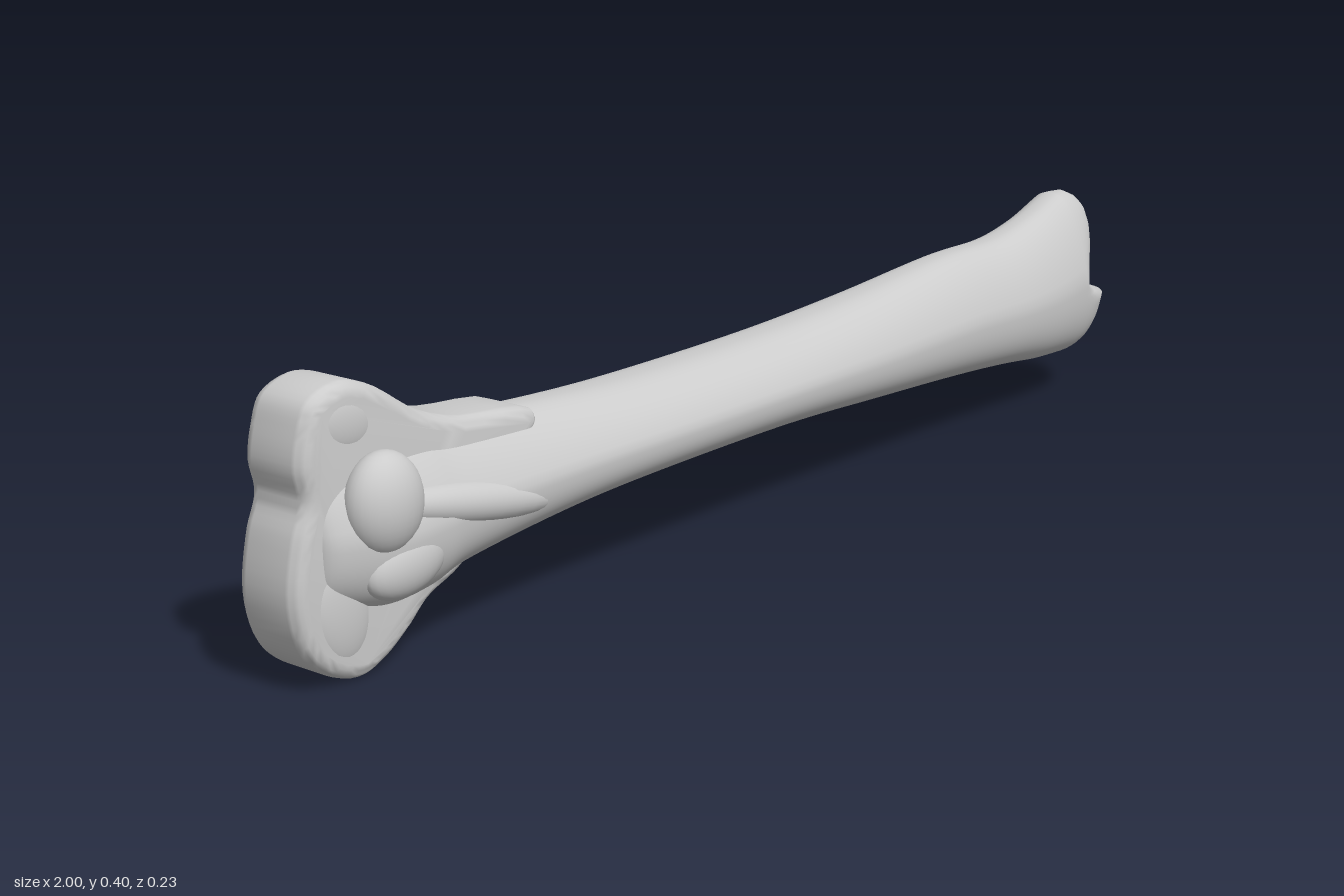
import * as THREE from 'three';
import { mergeVertices, toCreasedNormals } from 'three/addons/utils/BufferGeometryUtils.js';

const material = new THREE.MeshStandardMaterial({ color: 0xcccccc, side: THREE.DoubleSide });

// Shaft stations: x, top, bottom, half width, narrowing of the top
const STATIONS = [
  [-0.96, 0.27, 0.13, 0.0, 0.2], [-0.95, 0.29, 0.11, 0.06, 0.3], [-0.9, 0.31, 0.09, 0.085, 0.35],
  [-0.84, 0.31, 0.08, 0.1, 0.4], [-0.77, 0.31, 0.085, 0.1, 0.4], [-0.7, 0.3, 0.103, 0.097, 0.4],
  [-0.5, 0.285, 0.125, 0.097, 0.35], [-0.3, 0.278, 0.134, 0.099, 0.3], [0, 0.282, 0.134, 0.098, 0.3],
  [0.25, 0.296, 0.122, 0.096, 0.3], [0.5, 0.318, 0.108, 0.092, 0.35], [0.66, 0.322, 0.096, 0.09, 0.35],
  [0.77, 0.342, 0.084, 0.088, 0.35], [0.86, 0.373, 0.079, 0.086, 0.35],
];

// Outline of the notched far end: y, x
const END = [
  [0.075, 0.88], [0.09, 0.935], [0.11, 0.965], [0.14, 0.985], [0.182, 1.0], [0.198, 0.93], [0.21, 0.9],
  [0.235, 0.9], [0.25, 0.92], [0.28, 0.945], [0.31, 0.957], [0.34, 0.952], [0.36, 0.93], [0.38, 0.88],
];

function endX(y) {
  const i = END.findIndex((p) => p[0] > y);
  if (i <= 0) return i ? END[END.length - 1][1] : END[0][1];
  const [a, b] = [END[i - 1], END[i]];
  return THREE.MathUtils.lerp(a[1], b[1], (y - a[0]) / (b[0] - a[0]));
}

function shaftGeometry() {
  const N = 80, LONG = 90, CAP = 12;
  const spline = (f) => new THREE.CatmullRomCurve3(STATIONS.map(f), false, 'catmullrom', 0.5);
  const heights = spline((s) => new THREE.Vector3(s[0], s[1], s[2]));
  const widths = spline((s) => new THREE.Vector3(s[0], s[3], s[4]));
  const pos = [], index = [];
  const power = (v) => Math.sign(v) * Math.abs(v) ** 0.8;
  for (let i = 0; i <= LONG + CAP; i++) {
    const t = Math.min(1, i / LONG);
    const h = heights.getPoint(t), w = widths.getPoint(t);
    const cap = Math.max(0, (i - LONG) / CAP) * Math.PI / 2;
    for (let j = 0; j < N; j++) {
      const a = (j / N) * Math.PI * 2;
      const s = power(Math.sin(a));
      const y = (h.y + h.z) / 2 + s * (h.y - h.z) / 2;
      const z = w.y * power(Math.cos(a)) * (1 - w.z * Math.max(0, s));
      // the cap closes towards the middle plane along the notched outline
      const x = cap ? THREE.MathUtils.lerp(h.x, endX(y), Math.sin(cap)) : h.x;
      pos.push(x, y, z * Math.cos(cap));
    }
  }
  for (let i = 0; i < LONG + CAP; i++) {
    for (let j = 0; j < N; j++) {
      const a = i * N + j, b = i * N + ((j + 1) % N);
      index.push(a, a + N, b, b, a + N, b + N);
    }
  }
  const g = new THREE.BufferGeometry();
  g.setAttribute('position', new THREE.Float32BufferAttribute(pos, 3));
  g.setIndex(index);
  g.computeVertexNormals();
  return g;
}

// Rounded plate from a closed smooth outline, centred on z = 0
function plateGeometry(points, halfWidth, bevel) {
  const curve = new THREE.CatmullRomCurve3(points.map((p) => new THREE.Vector3(p[0], p[1], 0)), true);
  const shape = new THREE.Shape(curve.getPoints(90).slice(0, -1).map((p) => new THREE.Vector2(p.x, p.y)));
  const depth = 2 * (halfWidth - bevel);
  const g = new THREE.ExtrudeGeometry(shape, {
    depth, bevelEnabled: true, bevelSize: bevel, bevelThickness: bevel, bevelOffset: -bevel, bevelSegments: 5,
  });
  g.translate(0, 0, -depth / 2);
  g.deleteAttribute('uv');
  g.deleteAttribute('normal');
  return toCreasedNormals(mergeVertices(g, 1e-5), 0.7);
}

export function createModel() {
  const bone = new THREE.Group();
  bone.name = 'bone';
  const add = (name, geometry) => {
    const mesh = new THREE.Mesh(geometry, material);
    mesh.name = name;
    bone.add(mesh);
    return mesh;
  };
  const lump = (name, p, r, tilt = 0) => {
    const mesh = add(name, new THREE.SphereGeometry(1, 28, 18));
    mesh.position.set(...p);
    mesh.scale.set(...r);
    mesh.rotation.z = tilt;
  };

  add('shaft', shaftGeometry());

  // Tall knuckle with a crest that runs back along the shaft
  add('knuckle', plateGeometry([
    [-0.972, 0.345], [-0.955, 0.382], [-0.905, 0.4], [-0.85, 0.385], [-0.77, 0.335], [-0.7, 0.31],
    [-0.55, 0.283], [-0.6, 0.2], [-0.7, 0.104], [-0.765, 0.075], [-0.8, 0.045], [-0.845, 0.015],
    [-0.89, 0.002], [-0.945, 0.022], [-0.982, 0.06], [-1.0, 0.13], [-0.988, 0.21], [-0.972, 0.255], [-0.98, 0.3],
  ], 0.056, 0.02));

  for (const side of [1, -1]) {
    // Bosses and ridges on the flanks of the knuckle
    lump('sideBoss', [-0.86, 0.235, side * 0.07], [0.06, 0.07, 0.043]);
    lump('lowerBoss', [-0.83, 0.15, side * 0.075], [0.07, 0.045, 0.03], 0.2);
    lump('sideRidge', [-0.71, 0.2, side * 0.075], [0.17, 0.03, 0.03], -0.2);
    lump('upperRim', [-0.9, 0.345, side * 0.045], [0.055, 0.04, 0.014], -0.3);
    lump('lowerRim', [-0.92, 0.1, side * 0.045], [0.05, 0.075, 0.018], 0.2);
  }
  return bone;
}
